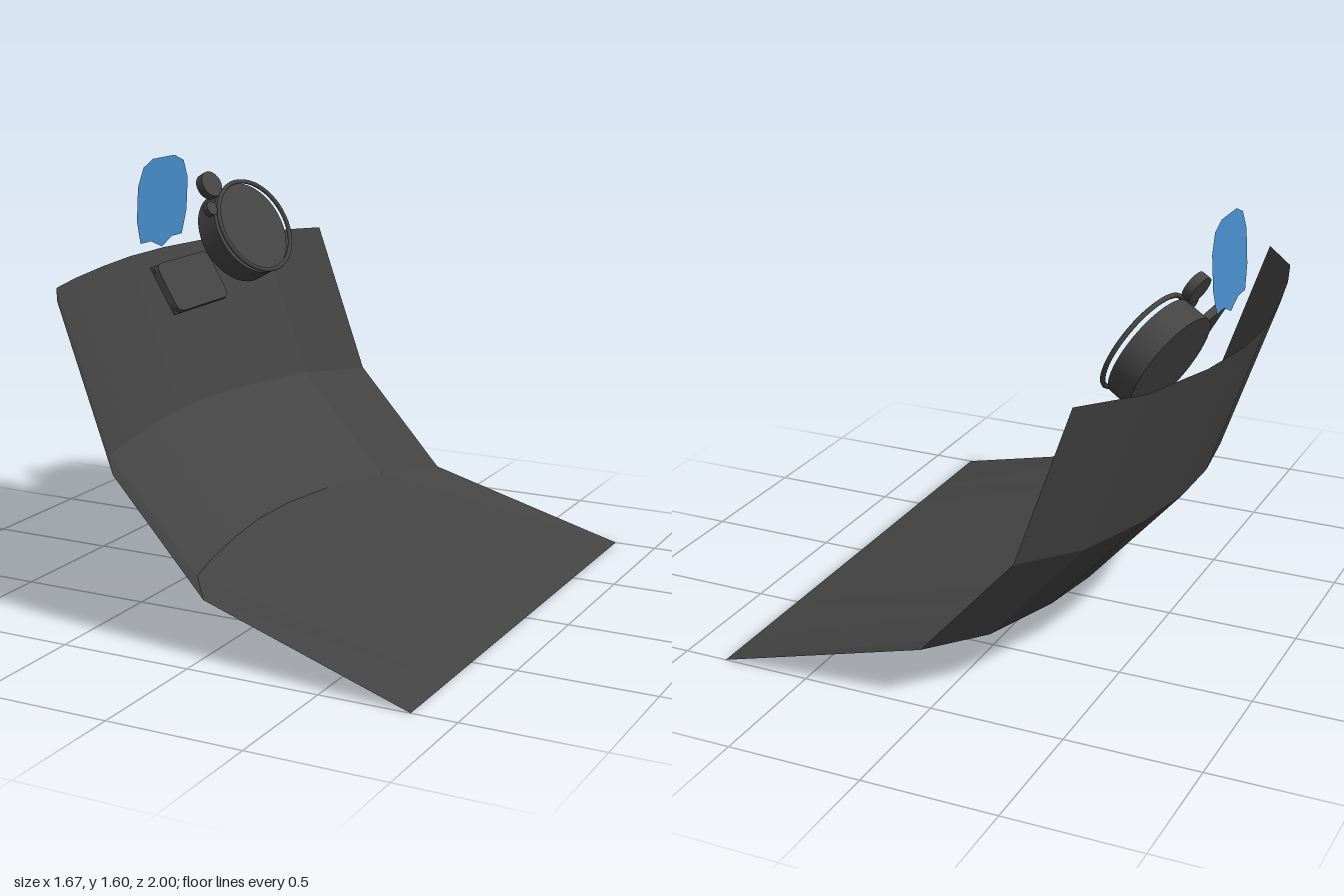
import * as THREE from 'three';

const dark = new THREE.MeshStandardMaterial({ color: 0x444444, flatShading: true, side: THREE.DoubleSide });
const darkSmooth = new THREE.MeshStandardMaterial({ color: 0x444444 });
const blue = new THREE.MeshStandardMaterial({ color: 0x4a90d0, side: THREE.DoubleSide });

function add(parent, name, geometry, material) {
  const mesh = new THREE.Mesh(geometry, material);
  mesh.name = name;
  parent.add(mesh);
  return mesh;
}

// Curved wall and floor: rows of points joined by quads
function shellGeometry() {
  const curve = [[-0.53, -1], [-0.7, -0.8], [-0.8, -0.5], [-0.84, -0.25], [-0.84, 0],
    [-0.805, 0.25], [-0.755, 0.5], [-0.7, 0.7], [-0.55, 0.91]];
  const rows = [[0, 1.205], [0.21, 0.615], [0.565, 0.22]].map(([dx, y]) =>
    curve.map(([x, z]) => [x + dx, y, z]));
  rows.push(curve.map(([, z], i) => [0.835, 0, i === curve.length - 1 ? 1 : z]));
  const n = curve.length, index = [];
  for (let r = 0; r < rows.length - 1; r++) {
    for (let i = 0; i < n - 1; i++) {
      const a = r * n + i, b = a + n;
      index.push(a, a + 1, b, a + 1, b + 1, b);
    }
  }
  const g = new THREE.BufferGeometry();
  g.setAttribute('position', new THREE.Float32BufferAttribute(rows.flat(2), 3));
  g.setIndex(index);
  g.computeVertexNormals();
  return g;
}

function roundedRect(w, h, r) {
  const s = new THREE.Shape(), x = w / 2, y = h / 2;
  s.moveTo(-x + r, -y);
  s.lineTo(x - r, -y).quadraticCurveTo(x, -y, x, -y + r);
  s.lineTo(x, y - r).quadraticCurveTo(x, y, x - r, y);
  s.lineTo(-x + r, y).quadraticCurveTo(-x, y, -x, y - r);
  s.lineTo(-x, -y + r).quadraticCurveTo(-x, -y, -x + r, -y);
  return s;
}

// Group whose local y axis points along the given direction
function facing(name, position, direction) {
  const g = new THREE.Group();
  g.name = name;
  g.position.set(...position);
  g.quaternion.setFromUnitVectors(new THREE.Vector3(0, 1, 0), new THREE.Vector3(...direction).normalize());
  return g;
}

export function createModel() {
  const model = new THREE.Group();
  add(model, 'curvedShell', shellGeometry(), dark);

  // Round drum with a floating rim
  const axis = [0.86, 0.47, 0.18];
  const gauge = facing('roundDrum', [-0.575, 1.275, -0.52], axis);
  add(gauge, 'drumBody', new THREE.CylinderGeometry(0.195, 0.195, 0.1, 40), darkSmooth).position.y = -0.075;
  add(gauge, 'drumRim', new THREE.TorusGeometry(0.193, 0.009, 8, 48), darkSmooth).rotation.x = Math.PI / 2;
  model.add(gauge);

  // Small knobs beside the drum
  for (const [name, position, radius, length] of [
    ['largeKnob', [-0.712, 1.443, -0.393], 0.054, 0.035],
    ['smallKnob', [-0.665, 1.36, -0.32], 0.028, 0.025],
  ]) {
    const knob = facing(name, position, axis);
    add(knob, name + 'Body', new THREE.CylinderGeometry(radius, radius, length, 24), darkSmooth);
    model.add(knob);
  }

  // Tilted screen: rounded front slab on a square back plate
  const screen = new THREE.Group();
  screen.name = 'screen';
  screen.position.set(-0.558, 1.132, -0.005);
  screen.rotation.set(-Math.atan2(0.51, 0.86), Math.PI / 2, 0, 'YXZ');
  add(screen, 'screenFace', new THREE.ExtrudeGeometry(roundedRect(0.375, 0.2, 0.04),
    { depth: 0.02, bevelEnabled: false, curveSegments: 4 }), darkSmooth).position.z = -0.02;
  add(screen, 'screenBack', new THREE.BoxGeometry(0.375, 0.2, 0.01), darkSmooth).position.z = -0.025;
  model.add(screen);

  // Thin blue pane, leaning slightly
  const outline = [[0.155, 1.5], [0.12, 1.57], [0.055, 1.597], [-0.1, 1.597], [-0.17, 1.57],
    [-0.205, 1.5], [-0.205, 1.37], [-0.175, 1.28], [-0.1, 1.28], [-0.03, 1.248],
    [0.05, 1.28], [0.125, 1.28], [0.155, 1.37]];
  const pane = new THREE.ShapeGeometry(new THREE.Shape(outline.map(([z, y]) => new THREE.Vector2(-z, y))));
  pane.rotateY(Math.PI / 2);
  const p = pane.attributes.position;
  for (let i = 0; i < p.count; i++) p.setX(i, -0.692 - (1.6 - p.getY(i)) * 0.06);
  pane.computeVertexNormals();
  add(model, 'bluePane', pane, blue);
  return model;
}
